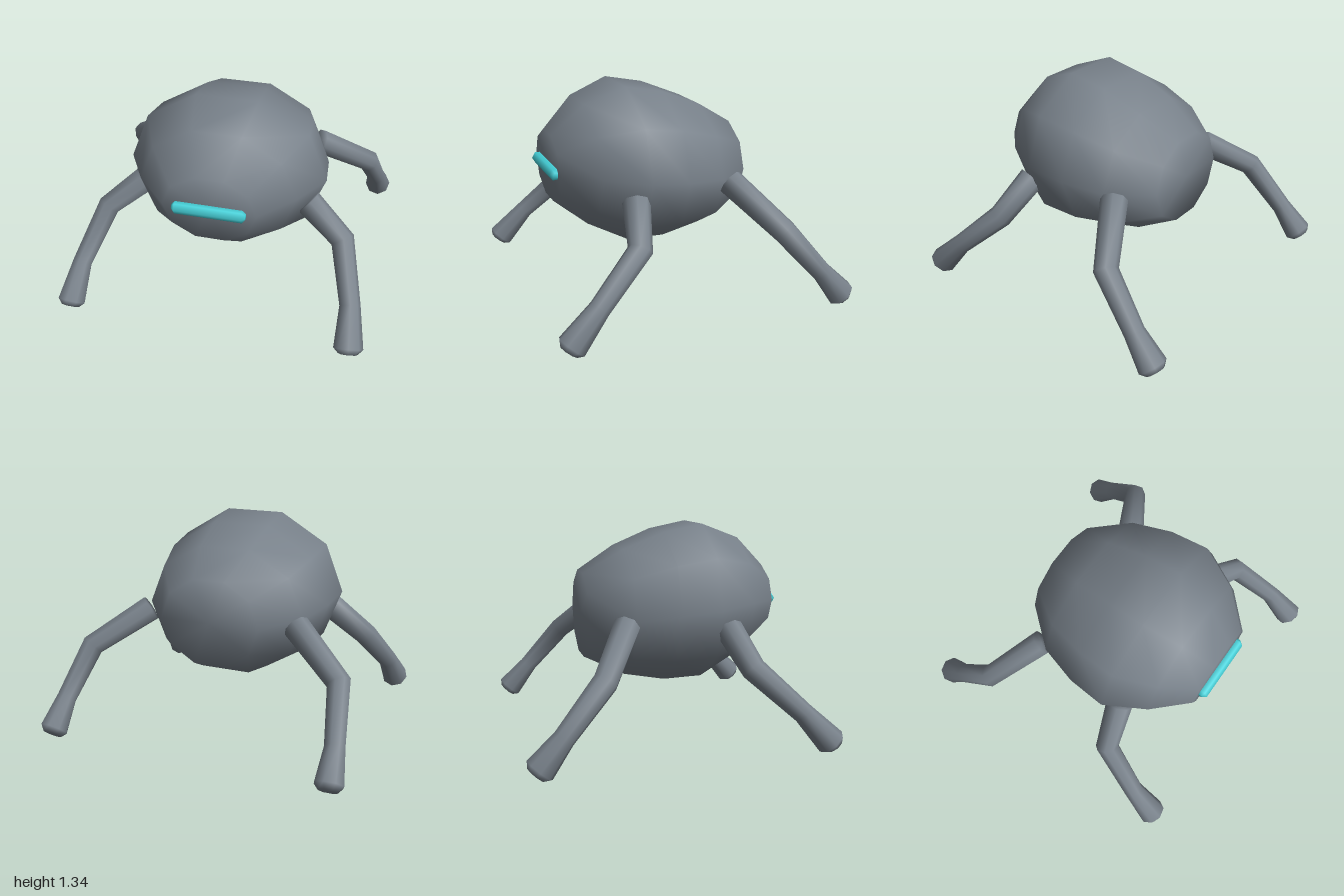
import * as THREE from 'three';

const V = (x, y, z) => new THREE.Vector3(x, y, z);

// Smooth closed skin over equal-sized rings, counter-clockwise about the direction of travel
function loft(rings) {
  const n = rings[0].length;
  const points = rings.flat();
  const index = [];
  for (let r = 0; r < rings.length - 1; r++) {
    for (let i = 0; i < n; i++) {
      const a = r * n + i, b = r * n + (i + 1) % n;
      index.push(a, b, b + n, a, b + n, a + n);
    }
  }
  const centre = ring => ring.reduce((s, p) => s.add(p), V(0, 0, 0)).divideScalar(n);
  const start = points.length, end = start + 1, last = (rings.length - 1) * n;
  const all = [...points, centre(rings[0]), centre(rings[rings.length - 1])];
  for (let i = 0; i < n; i++) {
    const j = (i + 1) % n;
    index.push(start, j, i, end, last + i, last + j);
  }
  const geometry = new THREE.BufferGeometry().setFromPoints(all);
  geometry.setIndex(index);
  geometry.computeVertexNormals();
  return geometry;
}

// Tapered limb through stations [x, y, z, radius]
function limb(stations, sides = 8) {
  const centres = stations.map(s => V(s[0], s[1], s[2]));
  const u = V(0, 1, 0);
  const rings = stations.map((s, i) => {
    const dir = V(0, 0, 0);
    if (i > 0) dir.add(centres[i].clone().sub(centres[i - 1]).normalize());
    if (i < centres.length - 1) dir.add(centres[i + 1].clone().sub(centres[i]).normalize());
    dir.normalize();
    u.addScaledVector(dir, -u.dot(dir)).normalize();
    const v = dir.clone().cross(u);
    return Array.from({ length: sides }, (_, k) => {
      const t = k / sides * Math.PI * 2;
      return centres[i].clone()
        .addScaledVector(u, Math.cos(t) * s[3])
        .addScaledVector(v, Math.sin(t) * s[3]);
    });
  });
  return loft(rings);
}

export function createModel() {
  const model = new THREE.Group();
  const grey = new THREE.MeshStandardMaterial({ color: 0x78818a });
  grey.name = 'steel grey';
  const cyan = new THREE.MeshStandardMaterial({ color: 0x46d4dc });
  cyan.name = 'glowing cyan';

  const add = (name, geometry, material) => {
    const mesh = new THREE.Mesh(geometry, material);
    mesh.name = name;
    model.add(mesh);
    return mesh;
  };

  // Ten-sided egg body: z, half width, centre height, half height
  const sections = [
    [-0.48, 0.325, 0.78, 0.27],
    [-0.23, 0.53, 0.798, 0.403],
    [0.03, 0.605, 0.828, 0.478],
    [0.28, 0.625, 0.857, 0.498],
    [0.535, 0.485, 0.875, 0.385],
    [0.735, 0.285, 0.86, 0.21],
  ];
  const tall = Math.sin(Math.PI * 0.4); // highest corner of a ten-sided ring
  add('body', loft(sections.map(([z, w, y, h]) =>
    Array.from({ length: 10 }, (_, k) => {
      const t = k / 10 * Math.PI * 2;
      return V(w * Math.cos(t), y + h / tall * Math.sin(t), z);
    }))), grey);

  // Legs: hip, knee, ankle, foot, sole
  const legs = {
    front: [
      [0.53, 0.73, 0.35, 0.085],
      [0.765, 0.53, 0.42, 0.075],
      [0.865, 0.265, 0.705, 0.064],
      [0.89, 0.08, 0.88, 0.09],
      [0.892, 0.055, 0.9, 0.06],
    ],
    rear: [
      [0.5, 0.77, -0.29, 0.085],
      [0.835, 0.53, -0.49, 0.075],
      [0.893, 0.245, -0.735, 0.064],
      [0.907, 0.08, -0.875, 0.09],
      [0.909, 0.055, -0.897, 0.06],
    ],
  };
  for (const [place, stations] of Object.entries(legs)) {
    for (const side of [1, -1]) {
      add(place + (side > 0 ? 'LeftLeg' : 'RightLeg'),
        limb(stations.map(([x, y, z, r]) => [x * side, y, z, r])), grey);
    }
  }

  // Six-sided visor bar with tapered ends
  const profile = [[0, -0.222], [0.018, -0.222], [0.04, -0.203], [0.04, 0.203], [0.018, 0.222], [0, 0.222]]
    .map(([r, y]) => new THREE.Vector2(r, y));
  const visor = add('visor', new THREE.LatheGeometry(profile, 6), cyan);
  visor.rotation.z = Math.PI / 2;
  visor.position.set(0, 0.857, 0.745);

  return model;
}
